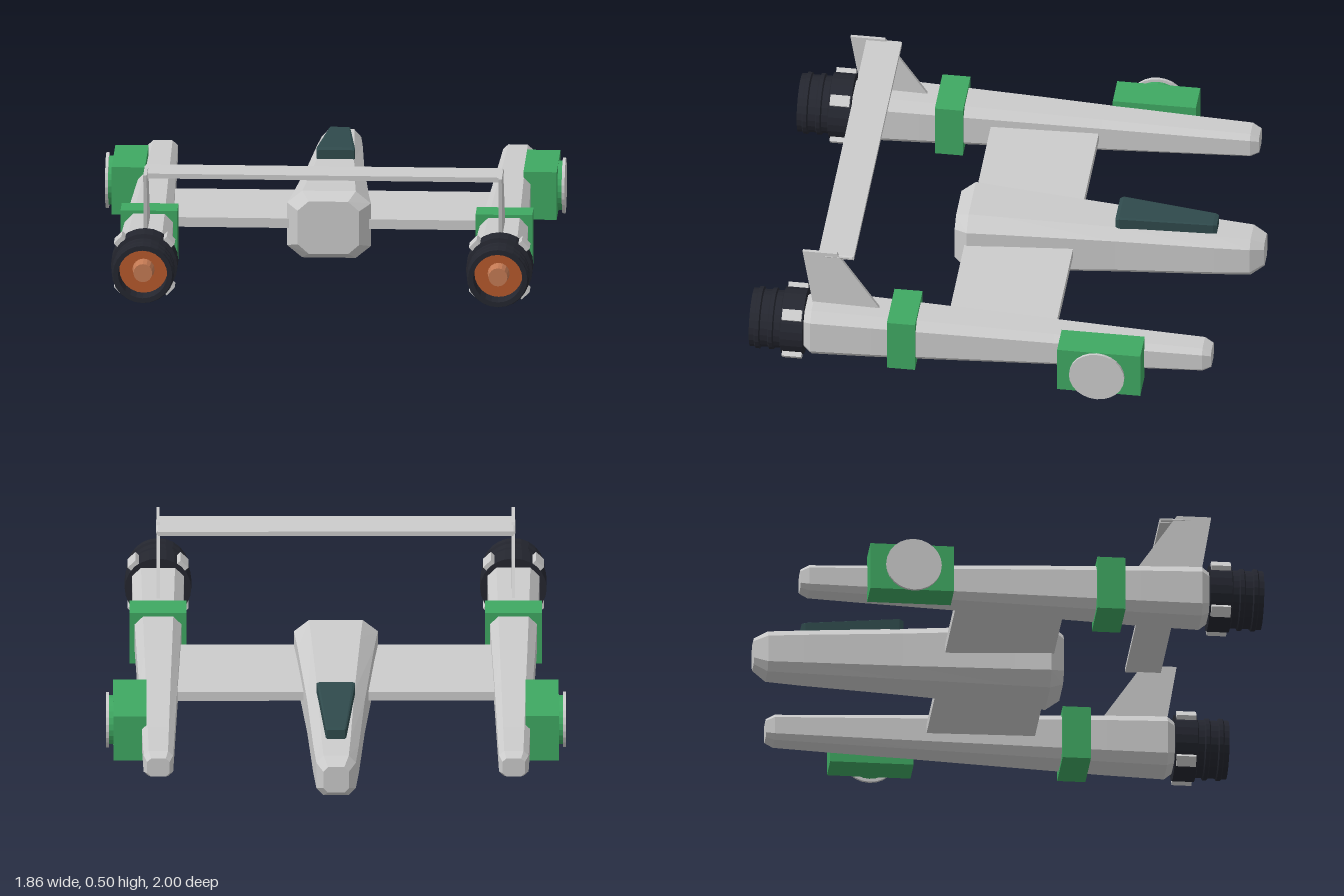
import * as THREE from 'three';

const mat = (color, extra = {}) => {
  const m = new THREE.MeshStandardMaterial({ flatShading: true, ...extra });
  m.color.set(color);
  return m;
};
const grey = mat(0xcccccc);
const green = mat(0x3fa862);
const dark = mat(0x24262f, { side: THREE.DoubleSide });
const orange = mat(0xb5592c);
const hubColor = mat(0xc47a54);
const glass = mat(0x2f4a4c);

function add(parent, name, geometry, material, x = 0, y = 0, z = 0) {
  const mesh = new THREE.Mesh(geometry, material);
  mesh.name = name;
  mesh.position.set(x, y, z);
  parent.add(mesh);
  return mesh;
}

// Chamfered-box hull through sections [z, halfWidth, bottom, top], given from -z to +z
function hull(sections, cut) {
  const rings = sections.map(([z, w, b, t]) => {
    const cx = w * cut, cy = (t - b) / 2 * cut;
    return [[w, b + cy], [w, t - cy], [w - cx, t], [cx - w, t],
      [-w, t - cy], [-w, b + cy], [cx - w, b], [w - cx, b]].map(([x, y]) => [x, y, z]);
  });
  const pos = [];
  const tri = (...p) => p.forEach((v) => pos.push(...v));
  for (let k = 0; k < rings.length - 1; k++) {
    const a = rings[k], c = rings[k + 1];
    for (let i = 0; i < 8; i++) {
      const j = (i + 1) % 8;
      tri(a[i], a[j], c[j]);
      tri(a[i], c[j], c[i]);
    }
  }
  const first = rings[0], last = rings[rings.length - 1];
  for (let i = 1; i < 7; i++) {
    tri(first[0], first[i + 1], first[i]);
    tri(last[0], last[i], last[i + 1]);
  }
  const g = new THREE.BufferGeometry();
  g.setAttribute('position', new THREE.Float32BufferAttribute(pos, 3));
  g.computeVertexNormals();
  return g;
}

// Exhaust nozzle with clamp collar, ribs, recessed glowing disc and hub
function engine() {
  const g = new THREE.Group();
  g.name = 'engine';
  const profile = [[0.09, 0.78], [0.135, 0.78], [0.135, 0.87], [0.118, 0.875], [0.118, 0.9],
    [0.126, 0.905], [0.126, 0.92], [0.118, 0.925], [0.118, 0.955], [0.127, 0.96],
    [0.127, 0.975], [0.12, 0.98], [0.12, 1], [0.1, 1], [0.098, 0.91]]
    .map(([r, z]) => new THREE.Vector2(r, z));
  add(g, 'nozzle', new THREE.LatheGeometry(profile, 24).rotateX(Math.PI / 2), dark);
  add(g, 'exhaustDisc', new THREE.CylinderGeometry(0.1, 0.1, 0.02, 24).rotateX(Math.PI / 2), orange, 0, 0, 0.91);
  add(g, 'exhaustHub', new THREE.CylinderGeometry(0.038, 0.045, 0.06, 16).rotateX(Math.PI / 2), hubColor, 0, 0, 0.95);
  for (let i = 0; i < 4; i++) {
    const a = Math.PI / 4 + i * Math.PI / 2;
    add(g, 'collarTab', new THREE.BoxGeometry(0.03, 0.045, 0.08), grey,
      Math.cos(a) * 0.137, Math.sin(a) * 0.137, 0.825).rotation.z = a;
  }
  return g;
}

export function createModel() {
  const model = new THREE.Group();
  model.name = 'spacecraft';

  // Central fuselage and canopy
  add(model, 'fuselage', hull([
    [-1, 0.052, 0.085, 0.2], [-0.945, 0.08, 0.047, 0.225], [-0.8, 0.092, 0.04, 0.232],
    [-0.4, 0.117, 0.025, 0.25], [0.05, 0.155, 0.007, 0.272], [0.2, 0.17, 0, 0.28],
    [0.255, 0.125, 0.03, 0.25]], 0.36), grey);
  add(model, 'canopy', hull([
    [-0.805, 0.036, 0.225, 0.273], [-0.79, 0.042, 0.225, 0.277],
    [-0.41, 0.078, 0.235, 0.296], [-0.395, 0.074, 0.235, 0.288]], 0.12), glass);

  // Flat wing joining the hulls, and the raised rear wing
  add(model, 'wing', new THREE.BoxGeometry(1.3, 0.04, 0.44), grey, 0, 0.145, -0.01);
  add(model, 'rearWing', new THREE.BoxGeometry(1.44, 0.02, 0.145), grey, 0, 0.48, 0.658);

  const podGeometry = hull([
    [-0.88, 0.046, 0.1, 0.18], [-0.845, 0.06, 0.085, 0.197], [-0.64, 0.066, 0.077, 0.203],
    [-0.24, 0.077, 0.063, 0.217], [0.03, 0.086, 0.053, 0.227], [0.5, 0.1, 0.036, 0.242],
    [0.75, 0.106, 0.03, 0.248], [0.78, 0.085, 0.05, 0.23]], 0.35);
  const finShape = new THREE.Shape([[-0.47, 0.225], [-0.655, 0.5], [-0.795, 0.5], [-0.75, 0.225]]
    .map(([x, y]) => new THREE.Vector2(x, y)));
  const finGeometry = new THREE.ExtrudeGeometry(finShape, { depth: 0.014, bevelEnabled: false })
    .translate(0, 0, -0.007).rotateY(Math.PI / 2);

  // Side hulls with fin, band, engine and outboard housing
  for (const s of [-1, 1]) {
    const side = new THREE.Group();
    side.name = s > 0 ? 'leftPod' : 'rightPod';
    side.position.x = s * 0.72;
    model.add(side);
    add(side, 'podHull', podGeometry, grey);
    add(side, 'fin', finGeometry, grey);
    add(side, 'finTip', new THREE.CylinderGeometry(0.008, 0.008, 0.12, 8).rotateX(Math.PI / 2), grey, 0, 0.482, 0.65);
    add(side, 'band', new THREE.BoxGeometry(0.23, 0.228, 0.115), green, 0, 0.139, 0.378);
    const e = engine();
    e.position.y = 0.14;
    side.add(e);
    add(side, 'housing', new THREE.BoxGeometry(0.135, 0.2, 0.34), green, s * 0.115, 0.14, -0.44);
    add(side, 'discMount', new THREE.CylinderGeometry(0.1, 0.1, 0.03, 24).rotateZ(Math.PI / 2), green, s * 0.19, 0.14, -0.435);
    add(side, 'disc', new THREE.CylinderGeometry(0.113, 0.113, 0.012, 24).rotateZ(Math.PI / 2), grey, s * 0.206, 0.14, -0.435);
  }
  return model;
}
